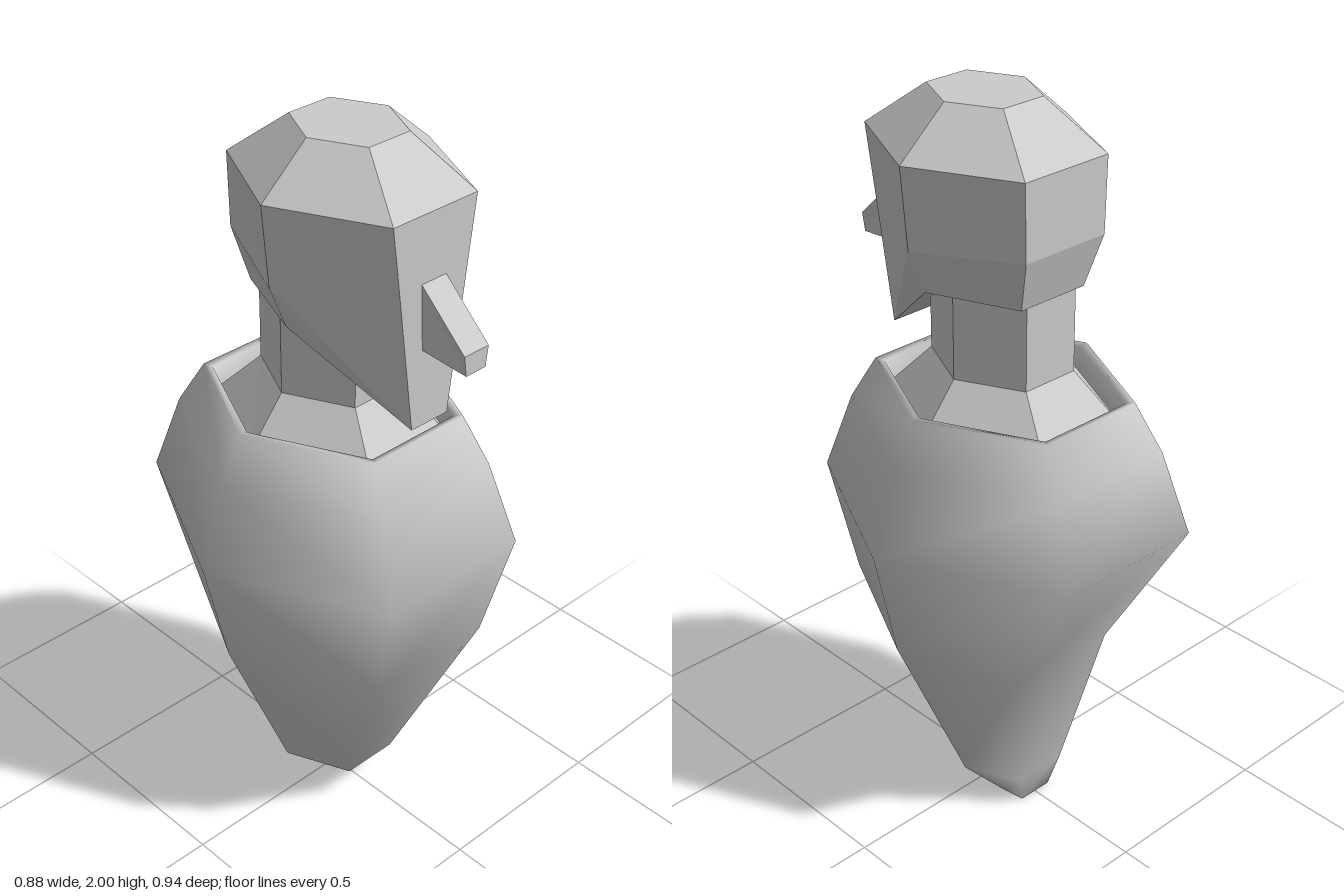
import * as THREE from 'three';

// Six-sided ring: side points, front pair and back pair, each with own height and depth.
function ring(w, ys, zs, fw, yf, zf, bw, yb, zb) {
  return [
    [w, ys, zs], [fw, yf, zf], [-fw, yf, zf],
    [-w, ys, zs], [-bw, yb, zb], [bw, yb, zb],
  ];
}

// Level ring whose front and back edges are half as wide as the ring.
const level = (y, w, zm, zf, zb) => ring(w, y, zm, w / 2, y, zf, w / 2, y, zb);

// Skin rings from top to bottom, with mirrored diagonals and optional end caps.
function loft(rings, capTop, capBottom) {
  const index = [];
  const last = (rings.length - 1) * 6;
  for (let i = 0; i < rings.length - 1; i++) {
    for (let j = 0; j < 6; j++) {
      const a = i * 6 + j, b = i * 6 + (j + 1) % 6;
      const c = b + 6, d = a + 6;
      if (j === 2 || j === 3) index.push(a, b, d, b, c, d);
      else index.push(a, b, c, a, c, d);
    }
  }
  for (let j = 1; j < 5; j++) {
    if (capTop) index.push(0, j + 1, j);
    if (capBottom) index.push(last, last + j, last + j + 1);
  }
  const geo = new THREE.BufferGeometry();
  geo.setAttribute('position', new THREE.Float32BufferAttribute(rings.flat(2), 3));
  geo.setIndex(index);
  geo.computeVertexNormals();
  return geo;
}

export function createModel() {
  const group = new THREE.Group();
  const smooth = new THREE.MeshStandardMaterial({ color: 0xcccccc, side: THREE.DoubleSide });
  const flat = new THREE.MeshStandardMaterial({ color: 0xcccccc, flatShading: true });
  const add = (name, geo, mat) => {
    const mesh = new THREE.Mesh(geo, mat);
    mesh.name = name;
    group.add(mesh);
  };

  // Body: recessed collar rim, broad chest, hollow lower back and a small foot
  add('body', loft([
    level(1.19, 0.27, -0.015, 0.27, -0.30),
    level(1.25, 0.28, -0.015, 0.28, -0.31),
    level(1.255, 0.305, -0.015, 0.30, -0.33),
    level(1.13, 0.367, -0.015, 0.367, -0.40),
    level(0.91, 0.44, -0.015, 0.44, -0.47),
    ring(0.37, 0.60, -0.01, 0.185, 0.60, 0.365, 0.17, 0.50, -0.24),
    ring(0.155, 0.10, -0.03, 0.08, 0.10, 0.145, 0.08, 0.09, -0.166),
    ring(0.06, 0.0, -0.09, 0.05, 0.005, -0.035, 0.05, 0.0, -0.15),
  ], false, true), smooth);

  // Neck with a flared base that sits inside the collar
  add('neck', loft([
    level(1.60, 0.165, -0.015, 0.16, -0.185),
    level(1.315, 0.165, -0.015, 0.16, -0.185),
    level(1.19, 0.27, -0.015, 0.27, -0.30),
  ], true, false), flat);

  // Head: bevelled crown, rounded back, face tapering to a long chin
  add('head', loft([
    level(2.0, 0.13, 0.045, 0.18, -0.085),
    level(1.88, 0.27, 0.045, 0.33, -0.23),
    ring(0.25, 1.66, 0.045, 0.105, 1.66, 0.33, 0.13, 1.68, -0.23),
    ring(0.20, 1.54, 0.045, 0.06, 1.32, 0.33, 0.105, 1.54, -0.19),
  ], true, true), flat);

  // Nose: wedge profile in (z, y), extruded across x and narrowed underneath
  const profile = new THREE.Shape([
    [0.32, 1.705], [0.32, 1.53], [0.47, 1.52], [0.47, 1.575], [0.33, 1.705],
  ].map(([z, y]) => new THREE.Vector2(z, y)));
  const nose = new THREE.ExtrudeGeometry(profile, { depth: 0.08, bevelEnabled: false });
  nose.translate(0, 0, -0.04).rotateY(-Math.PI / 2);
  const p = nose.attributes.position;
  for (let i = 0; i < p.count; i++) {
    if (p.getY(i) < 1.55) p.setX(i, p.getX(i) * 0.8);
  }
  nose.computeVertexNormals();
  add('nose', nose, flat);

  return group;
}
